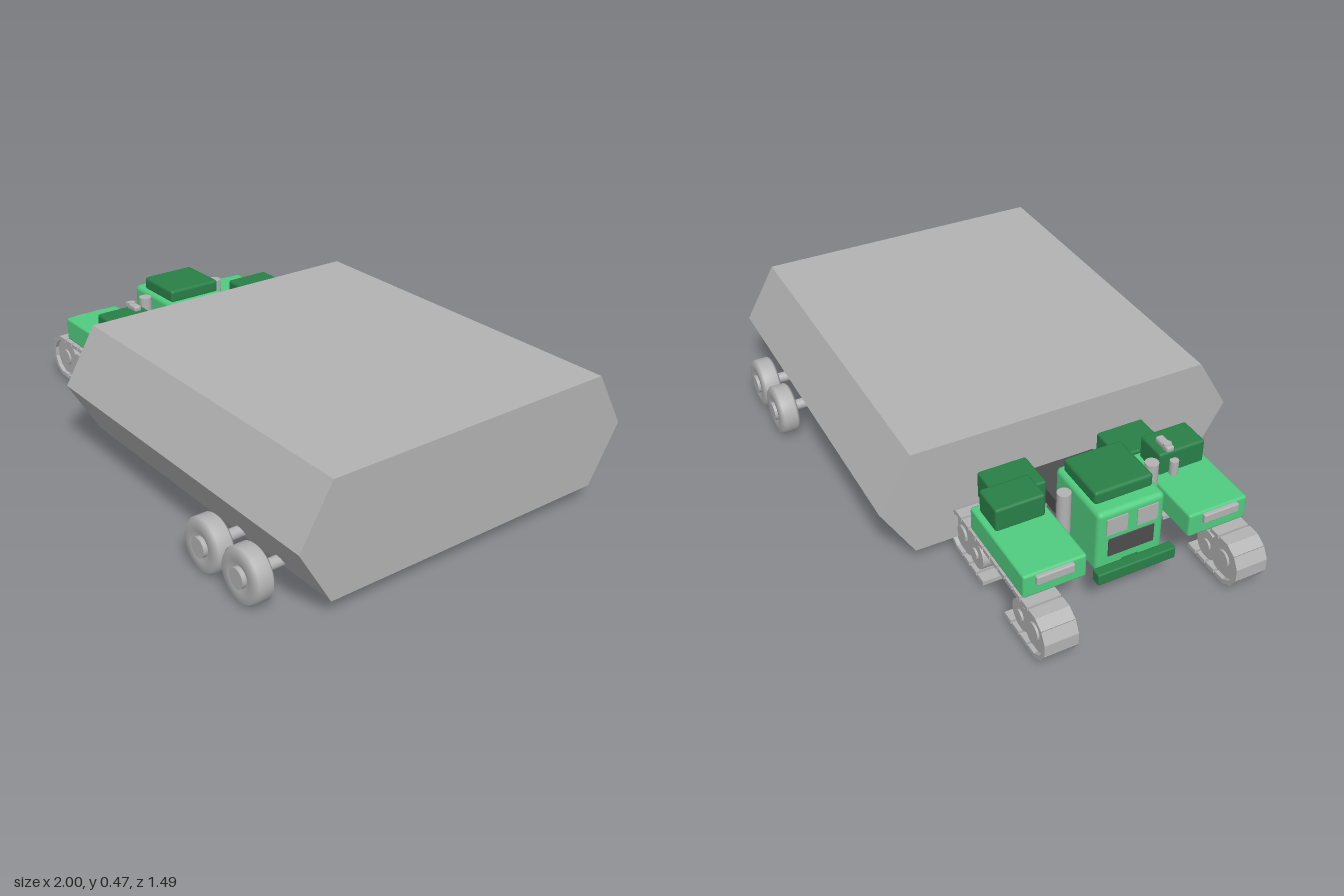
import * as THREE from 'three';
import { RoundedBoxGeometry } from 'three/addons/geometries/RoundedBoxGeometry.js';

const mat = (name, color) => {
  const m = new THREE.MeshStandardMaterial({ color });
  m.name = name;
  return m;
};

export function createModel() {
  const root = new THREE.Group();
  root.name = 'trackedHauler';
  const grey = mat('grey', 0xb2b2b2);
  const dark = mat('darkGrey', 0x4d4d4d);
  const green = mat('green', 0x50cc7f);
  const deep = mat('darkGreen', 0x297f47);

  const add = (parent, name, geo, material, x = 0, y = 0, z = 0) => {
    const m = new THREE.Mesh(geo, material);
    m.name = name;
    m.position.set(x, y, z);
    parent.add(m);
    return m;
  };
  // Box from its limits, with softly rounded edges when r > 0
  const box = (parent, name, material, x0, x1, y0, y1, z0, z1, r = 0) => {
    const s = [x1 - x0, y1 - y0, z1 - z0];
    const geo = r ? new RoundedBoxGeometry(...s, 2, r) : new THREE.BoxGeometry(...s);
    return add(parent, name, geo, material, (x0 + x1) / 2, (y0 + y1) / 2, (z0 + z1) / 2);
  };
  const disc = (parent, name, r, depth, x, y, z, material = grey) => {
    const geo = new THREE.CylinderGeometry(r, r, depth, 32).rotateX(Math.PI / 2);
    return add(parent, name, geo, material, x, y, z);
  };

  // Hexagonal trailer body
  const hex = new THREE.Shape([[-0.56, 0.06], [0.56, 0.06], [0.68, 0.265], [0.56, 0.47], [-0.56, 0.47], [-0.68, 0.265]]
    .map(([a, b]) => new THREE.Vector2(a, b)));
  const body = new THREE.ExtrudeGeometry(hex, { depth: 1.365, bevelEnabled: false });
  body.rotateY(Math.PI / 2);
  add(root, 'trailerBody', body, grey, -0.365);

  // Trailer wheels with a recessed rim and a hub
  const tyre = new THREE.LatheGeometry([[0, -0.04], [0.085, -0.04], [0.095, -0.03], [0.095, 0.02], [0.085, 0.032], [0.05, 0.032], [0.045, 0.024], [0, 0.024]]
    .map(([a, b]) => new THREE.Vector2(a, b)), 32).rotateX(Math.PI / 2);
  for (const side of [1, -1]) {
    for (const x of [0.575, 0.78]) {
      const wheel = new THREE.Group();
      wheel.name = 'trailerWheel';
      wheel.position.set(x, 0.095, side * 0.705);
      if (side < 0) wheel.rotation.y = Math.PI;
      add(wheel, 'tyre', tyre, grey);
      disc(wheel, 'hub', 0.035, 0.02, 0, 0, 0.03);
      disc(wheel, 'axle', 0.02, 0.16, 0, 0, -0.1);
      root.add(wheel);
    }
  }

  // Crawler tracks: sprockets, rollers and shoes
  const shoeGeo = new THREE.BoxGeometry(0.044, 0.016, 0.12);
  for (const side of [1, -1]) {
    const track = new THREE.Group();
    track.name = 'track';
    track.position.set(-0.66, 0, side * 0.355);
    const shoe = (x, y, angle) => {
      add(track, 'trackShoe', shoeGeo, grey, x, y, 0).rotation.z = angle;
    };
    for (const end of [1, -1]) {
      disc(track, 'sprocket', 0.076, 0.09, end * 0.253, 0.105, 0);
      disc(track, 'roadWheel', 0.056, 0.09, end * 0.16, 0.09, 0);
      disc(track, 'sprocketHub', 0.032, 0.106, end * 0.253, 0.105, 0);
      disc(track, 'roadWheelHub', 0.022, 0.106, end * 0.16, 0.09, 0);
      // Shoes wrapped round the end
      for (let i = 1; i < 6; i++) {
        const a = Math.PI / 2 - (i * Math.PI) / 6;
        shoe(end * (0.258 + 0.078 * Math.cos(a)), 0.106 + 0.078 * Math.sin(a), end * (a - Math.PI / 2));
      }
      // Short lower run
      for (let i = 0; i < 4; i++) shoe(end * (0.258 - i * 0.053), 0.028, 0);
    }
    // Full upper run
    for (let i = -5; i <= 5; i++) shoe(i * 0.052, 0.184, 0);
    root.add(track);
  }

  // Side hoods with lamps, side boxes and rear lockers
  const span = (side, a, b) => (side > 0 ? [a, b] : [-b, -a]);
  for (const side of [1, -1]) {
    box(root, 'sideHood', green, -0.866, -0.495, 0.205, 0.297, ...span(side, 0.19, 0.416), 0.01);
    box(root, 'rearLocker', deep, -0.512, -0.36, 0.205, 0.312, ...span(side, 0.14, 0.324), 0.008);
    box(root, 'hoodBox', deep, -0.642, -0.52, 0.29, 0.382, ...span(side, 0.215, 0.395), 0.01);
    box(root, 'headlamp', grey, -0.88, -0.86, 0.255, 0.29, ...span(side, 0.24, 0.375), 0.005);
    // Upright exhaust beside the cab
    add(root, 'exhaustStack', new THREE.CylinderGeometry(0.024, 0.024, 0.19, 20), grey, -0.668, 0.295, side * 0.165);
  }

  // Air pipe on the left hood box
  add(root, 'airPipe', new THREE.CylinderGeometry(0.016, 0.016, 0.055, 16), grey, -0.655, 0.325, 0.265);
  add(root, 'airPipeNeck', new THREE.CylinderGeometry(0.015, 0.015, 0.04, 16), grey, -0.62, 0.385, 0.255);
  box(root, 'airPipeOutlet', grey, -0.645, -0.568, 0.38, 0.403, 0.24, 0.27, 0.008);

  // Cab
  box(root, 'cab', green, -0.817, -0.537, 0.14, 0.387, -0.125, 0.125, 0.02);
  box(root, 'cabRoof', deep, -0.764, -0.56, 0.38, 0.432, -0.108, 0.108, 0.012);
  box(root, 'hitchDeck', dark, -0.545, -0.36, 0.19, 0.25, -0.125, 0.125);
  box(root, 'grille', dark, -0.821, -0.813, 0.205, 0.275, -0.085, 0.085);
  for (const side of [1, -1]) {
    box(root, 'windscreen', grey, -0.821, -0.813, 0.295, 0.36, ...span(side, 0.018, 0.095));
  }

  // Front bumper on a short bracket
  box(root, 'bumper', deep, -0.867, -0.828, 0.14, 0.185, -0.146, 0.146, 0.006);
  box(root, 'bumperBracket', deep, -0.84, -0.8, 0.15, 0.175, -0.03, 0.03);

  return root;
}
